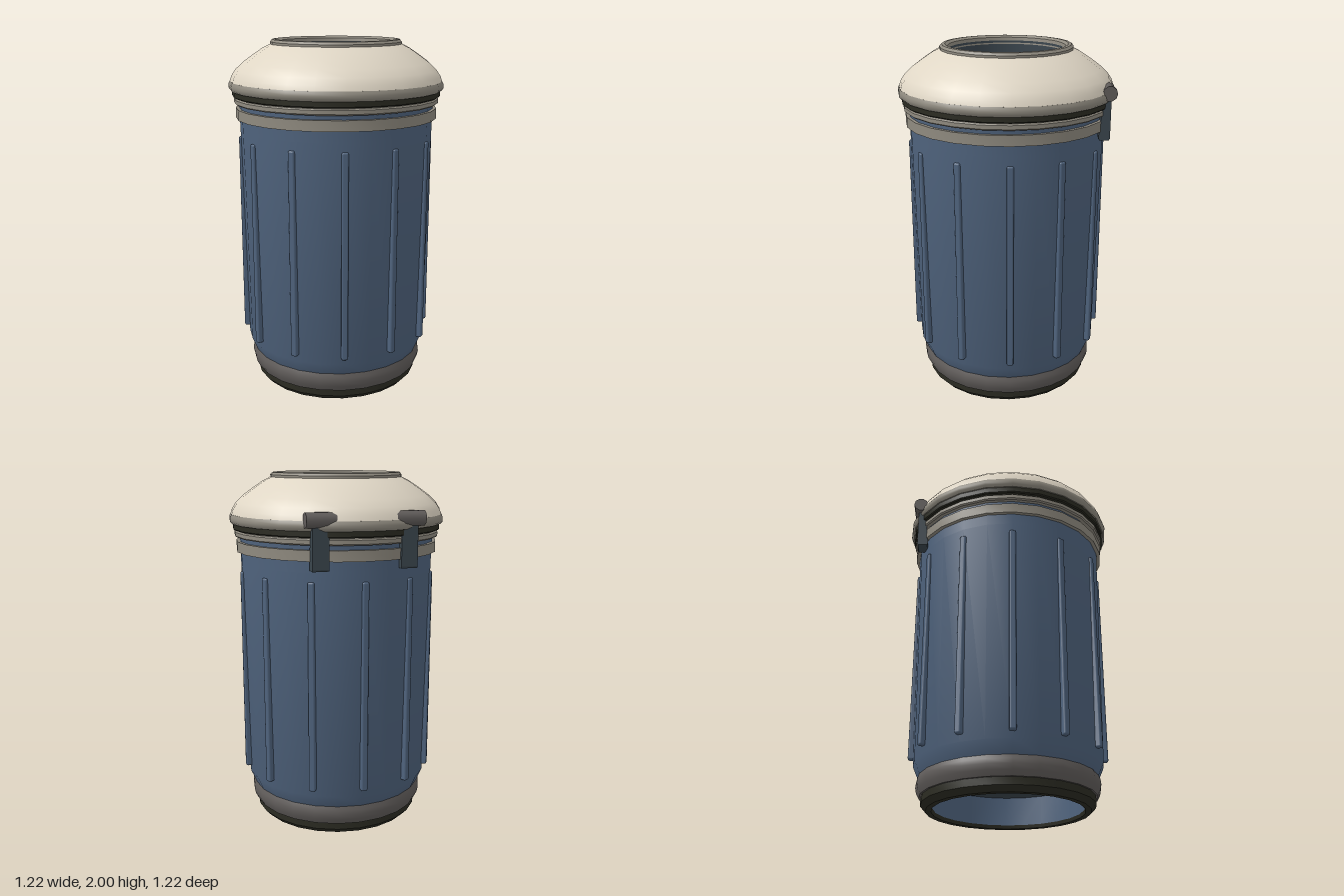
import * as THREE from 'three';
import { toCreasedNormals } from 'three/addons/utils/BufferGeometryUtils.js';
import { RoundedBoxGeometry } from 'three/addons/geometries/RoundedBoxGeometry.js';

function material(name, color, side = THREE.FrontSide) {
  const m = new THREE.MeshStandardMaterial({ color, side });
  m.name = name;
  return m;
}

export function createModel() {
  const blue = material('body blue', 0x4f637d, THREE.DoubleSide);
  const cream = material('lid cream', 0xdfd6c5);
  const trim = material('trim grey', 0x8f8a7f);
  const grey = material('dark grey', 0x605c5a);
  const black = material('olive black', 0x2b2b22);
  const slate = material('liner slate', 0x3b464e, THREE.DoubleSide);

  const model = new THREE.Group();
  model.name = 'wasteBin';

  function add(name, geometry, mat, parent = model) {
    const mesh = new THREE.Mesh(geometry, mat);
    mesh.name = name;
    parent.add(mesh);
    return mesh;
  }
  // Turned part from [radius, y] pairs, listed upwards on the outside
  function turned(name, profile, mat, crease = 0.5) {
    const pts = profile.map(([r, y]) => new THREE.Vector2(r, y));
    return add(name, toCreasedNormals(new THREE.LatheGeometry(pts, 24), crease), mat);
  }

  // Base
  turned('baseFoot', [[0.415, 0.03], [0.42, 0], [0.452, 0], [0.48, 0.03], [0.48, 0.075], [0.415, 0.075]], black);
  turned('baseRing', [[0.42, 0.07], [0.49, 0.07], [0.505, 0.1], [0.511, 0.13], [0.508, 0.155], [0.498, 0.18], [0.44, 0.18]], grey, 0.6);
  turned('baseRecess', [[0.415, 0.02], [0.415, 0.182]], blue);
  turned('baseFloor', [[0.43, 0.182], [0.001, 0.182]], slate);

  // Body shell and inner liner
  turned('body', [[0.498, 0.175], [0.502, 0.185], [0.53, 0.25], [0.55, 1.5], [0.555, 1.67]], blue);
  turned('liner', [[0.323, 1.97], [0.32, 0.19], [0.001, 0.19]], slate);

  // Twelve upright ribs
  const ribs = new THREE.Group();
  ribs.name = 'ribs';
  model.add(ribs);
  const ribGeometry = new RoundedBoxGeometry(0.037, 1.165, 0.06, 2, 0.01);
  for (let i = 0; i < 12; i++) {
    const a = (i * Math.PI) / 6;
    const rib = add('rib', ribGeometry, blue, ribs);
    rib.position.set(Math.sin(a) * 0.53, 0.87, Math.cos(a) * 0.53);
    rib.rotation.y = a;
  }

  // Bands under the lid
  turned('upperBand', [[0.54, 1.562], [0.573, 1.562], [0.573, 1.62], [0.54, 1.62]], trim);
  turned('collar', [[0.54, 1.645], [0.575, 1.645], [0.583, 1.652], [0.583, 1.673], [0.575, 1.68], [0.54, 1.68]], trim);
  turned('seal', [[0.54, 1.684], [0.586, 1.684], [0.592, 1.69], [0.592, 1.72], [0.5, 1.72]], black);

  // Lid
  turned('lidRim', [[0.54, 1.718], [0.598, 1.718], [0.609, 1.73], [0.611, 1.745], [0.609, 1.758], [0.602, 1.77], [0.54, 1.77]], trim, 0.75);
  turned('lidDome', [[0.602, 1.768], [0.593, 1.797], [0.57, 1.832], [0.528, 1.872], [0.472, 1.913], [0.415, 1.951], [0.355, 1.981]], cream, 0.7);
  turned('openingRing', [[0.372, 1.96], [0.372, 1.985], [0.36, 1.998], [0.343, 2], [0.327, 1.988], [0.322, 1.95]], trim);

  // Rear hinges
  const plate = new THREE.Shape([
    [0.487, 1.53], [0.492, 1.515], [0.545, 1.515], [0.55, 1.525], [0.55, 1.74], [0.508, 1.74],
  ].map(([d, y]) => new THREE.Vector2(d, y)));
  const plateGeometry = new THREE.ExtrudeGeometry(plate, { depth: 0.09, bevelEnabled: false });
  plateGeometry.translate(0, 0, -0.045).rotateY(Math.PI / 2);
  const pinGeometry = new THREE.CylinderGeometry(0.041, 0.041, 0.16, 10).rotateZ(Math.PI / 2);
  for (const side of [-1, 1]) {
    const hinge = new THREE.Group();
    hinge.name = side > 0 ? 'leftHinge' : 'rightHinge';
    hinge.position.x = side * 0.24;
    model.add(hinge);
    add('hingePlate', plateGeometry, slate, hinge);
    add('hingePin', pinGeometry, grey, hinge).position.set(0, 1.775, -0.536);
  }
  return model;
}
